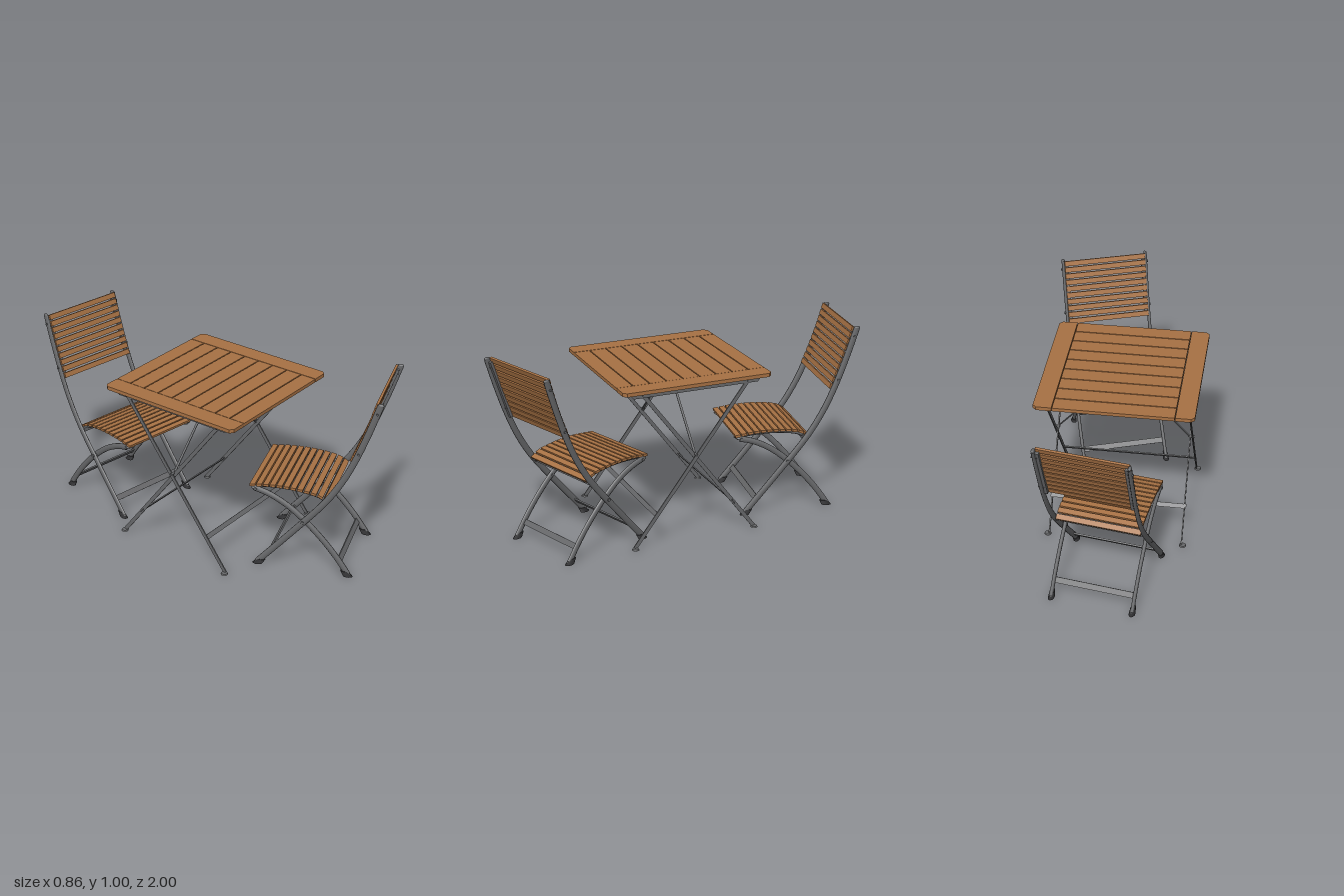
import * as THREE from 'three';

const mat = (name, hex) => {
  const m = new THREE.MeshStandardMaterial({ color: hex });
  m.name = name;
  return m;
};
const V = (x, y, z) => new THREE.Vector3(x, y, z);

export function createModel() {
  const wood = mat('wood', 0xa87244);
  const metal = mat('grey metal', 0x68696b);
  const rubber = mat('dark rubber', 0x343436);

  const add = (parent, name, geo, material, x = 0, y = 0, z = 0) => {
    const m = new THREE.Mesh(geo, material);
    m.name = name;
    m.position.set(x, y, z);
    parent.add(m);
    return m;
  };
  const box = (parent, name, material, w, h, d, x, y, z) =>
    add(parent, name, new THREE.BoxGeometry(w, h, d), material, x, y, z);

  // straight metal bar between two points
  const bar = (parent, name, a, b, w, d) => {
    const m = box(parent, name, metal, w, a.distanceTo(b), d, 0, 0, 0);
    m.position.copy(a).add(b).multiplyScalar(0.5);
    m.quaternion.setFromUnitVectors(V(0, 1, 0), b.clone().sub(a).normalize());
  };

  // curve in the side plane from [forward, height] pairs
  const sideCurve = (pts) => new THREE.CatmullRomCurve3(pts.map(([u, y]) => V(0, y, u)));

  // oval tube along a side curve, with rounded ends
  const ovalTube = (parent, name, curve, x, r, flat) => {
    const g = new THREE.TubeGeometry(curve, 28, r, 10, false);
    add(parent, name, g.scale(flat, 1, 1), metal, x);
    for (const t of [0, 1]) {
      const p = curve.getPoint(t);
      add(parent, name + 'End', new THREE.SphereGeometry(r, 10, 6).scale(flat, 0.5, 1), metal, x, p.y, p.z);
    }
  };

  // horizontal pin
  const pin = (parent, name, r, len, x, y, z) =>
    add(parent, name, new THREE.CylinderGeometry(r, r, len, 10).rotateZ(Math.PI / 2), metal, x, y, z);

  // rubber foot, leaning the way its leg leans
  const foot = (parent, x, z, lean) => {
    const g = new THREE.CylinderGeometry(0.017, 0.022, 0.028, 10).scale(0.75, 1, 1.2);
    const p = g.attributes.position;
    for (let i = 0; i < p.count; i++) p.setZ(i, p.getZ(i) + lean * p.getY(i));
    add(parent, 'rubberFoot', g, rubber, x, 0.014, z + lean * 0.012);
  };

  // folding chair: faces +z, top of the backrest at z = 0
  function chair(name) {
    const c = new THREE.Group();
    c.name = name;
    const railX = 0.23, legX = 0.21;
    const railCurve = sideCurve([[0, 0.99], [0.052, 0.83], [0.112, 0.67], [0.168, 0.55],
      [0.248, 0.42], [0.42, 0.21], [0.59, 0.012]]);
    const legCurve = sideCurve([[0.125, 0.012], [0.19, 0.105], [0.27, 0.2], [0.36, 0.288],
      [0.45, 0.358], [0.54, 0.405], [0.62, 0.428]]);
    const seatCurve = sideCurve([[0.235, 0.408], [0.285, 0.436], [0.39, 0.453], [0.52, 0.455], [0.645, 0.441]]);
    const seatRail = sideCurve([[0.25, 0.402], [0.29, 0.422], [0.39, 0.44], [0.52, 0.442], [0.635, 0.43]]);

    for (const s of [-1, 1]) {
      ovalTube(c, 'backRail', railCurve, s * railX, 0.017, 0.53);
      ovalTube(c, 'curvedLeg', legCurve, s * legX, 0.016, 0.6);
      ovalTube(c, 'seatRail', seatRail, s * 0.188, 0.01, 0.8);
      foot(c, s * railX, 0.59, -0.8);
      foot(c, s * legX, 0.125, 0.7);
      bar(c, 'backStrip', V(s * 0.214, 0.975, 0.008), V(s * 0.214, 0.665, 0.117), 0.018, 0.014);
      pin(c, 'pivotBolt', 0.008, 0.046, s * 0.221, 0.285, 0.36);
      pin(c, 'seatBolt', 0.008, 0.02, s * 0.212, 0.425, 0.61);
      for (const [y, z] of [[0.945, 0.014], [0.715, 0.094]]) pin(c, 'backBolt', 0.006, 0.028, s * railX, y, z);
    }

    // backrest slats
    for (let i = 0; i < 10; i++) {
      const t = i / 9;
      const m = box(c, 'backSlat', wood, 0.45, 0.027, 0.012, 0,
        0.982 - 0.304 * t, 0.022 + 0.106 * t - 0.006 * Math.sin(Math.PI * t));
      m.rotation.x = -0.33;
    }

    // seat slats following the curved seat
    const n = 12;
    for (let i = 0; i < n; i++) {
      const t = (i + 0.5) / n;
      const p = seatCurve.getPointAt(t), d = seatCurve.getTangentAt(t);
      const m = box(c, 'seatSlat', wood, 0.432, 0.013, 0.028, 0, p.y, p.z);
      m.rotation.x = -Math.atan2(d.y, d.z);
    }

    // cross bars between the legs and below the seat
    box(c, 'rearCrossBar', metal, 0.42, 0.03, 0.008, 0, 0.077, 0.172).rotation.x = 0.6;
    box(c, 'frontCrossBar', metal, 0.455, 0.03, 0.008, 0, 0.085, 0.527).rotation.x = -0.7;
    box(c, 'seatCrossBar', metal, 0.45, 0.022, 0.016, 0, 0.4, 0.262);
    return c;
  }

  // folding table, centred on its own x and z
  function makeTable() {
    const t = new THREE.Group();
    t.name = 'table';
    const H = 0.4, ch = 0.018, top = 0.833, thick = 0.019;

    // end boards with clipped outer corners
    for (const s of [-1, 1]) {
      const pts = [[0.305, -H], [H - ch, -H], [H, -H + ch], [H, H - ch], [H - ch, H], [0.305, H]]
        .map(([x, y]) => new THREE.Vector2(s * x, y));
      const g = new THREE.ExtrudeGeometry(new THREE.Shape(pts), { depth: thick, bevelEnabled: false });
      add(t, 'endBoard', g.rotateX(-Math.PI / 2), wood, 0, top, 0);
    }
    for (let i = 0; i < 9; i++) {
      box(t, 'tableSlat', wood, 0.604, thick - 0.001, 0.084, 0, top + thick / 2, -0.358 + i * 0.0895);
    }

    for (const s of [-1, 1]) {
      const x = s * 0.355;
      // rail below the top with slanted ends
      const rail = new THREE.Shape([[-0.36, 0], [0.36, 0], [0.335, -0.028], [-0.335, -0.028]]
        .map(([a, b]) => new THREE.Vector2(a, b)).reverse());
      const g = new THREE.ExtrudeGeometry(rail, { depth: 0.022, bevelEnabled: false });
      add(t, 'topRail', g.translate(0, 0, -0.011).rotateY(Math.PI / 2), metal, x, top, 0);
      // crossed legs, feet and bolts
      for (const k of [-1, 1]) {
        const lx = x + s * k * 0.007;
        bar(t, 'tableLeg', V(lx, 0.006, k * 0.335), V(lx, 0.82, -k * 0.285), 0.006, 0.02);
        add(t, 'tableFoot', new THREE.CylinderGeometry(0.016, 0.019, 0.007, 12), metal, lx + s * 0.007, 0.0035, k * 0.335);
        pin(t, 'topBolt', 0.007, 0.032, x, 0.817, k * 0.283);
      }
      pin(t, 'legPivot', 0.006, 0.036, x, 0.462, 0);
      // brace up to the middle of the top
      bar(t, 'brace', V(s * 0.342, 0.465, 0), V(s * 0.018, 0.815, 0), 0.004, 0.012);
    }
    for (const k of [-1, 1]) {
      box(t, 'legCrossBar', metal, 0.715, 0.024, 0.006, 0, 0.165, k * 0.214).rotation.x = -k * 0.65;
    }
    box(t, 'middleRail', metal, 0.026, 0.022, 0.66, 0, 0.821, 0);
    box(t, 'braceBracket', metal, 0.04, 0.025, 0.024, 0, 0.808, 0);
    return t;
  }

  const model = new THREE.Group();
  model.name = 'foldingTableAndChairs';

  const table = makeTable();
  table.position.set(-0.03, 0, 0.025);

  const rearChair = chair('rearChair');
  rearChair.position.set(0.032, 0, -0.951);
  rearChair.rotation.y = -0.155;

  const frontChair = chair('frontChair');
  frontChair.position.set(0.204, 0, 0.908);
  frontChair.rotation.y = Math.PI + 0.345;

  model.add(table, rearChair, frontChair);
  return model;
}
